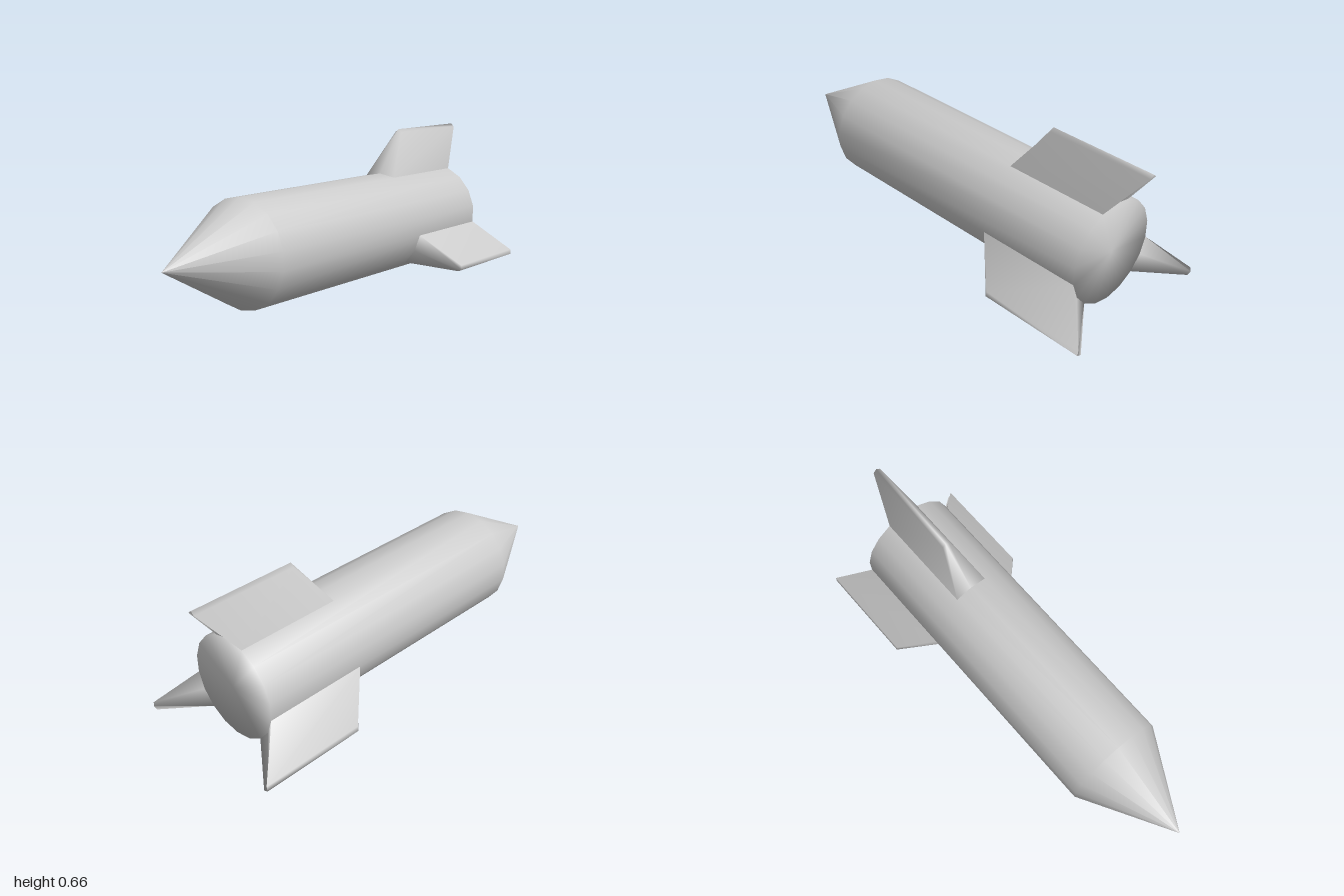
import * as THREE from 'three';

const material = new THREE.MeshStandardMaterial({ color: 0xcccccc, side: THREE.DoubleSide });
const SIDES = 18, RADIUS = 0.23;

// Six points around a fin section: left to right along the front, then back again.
function finSection(halfWidth, sideR, ridgeR, zFront, zBack) {
  return [
    [-halfWidth, sideR, zFront], [0, ridgeR, zFront], [halfWidth, sideR, zFront],
    [halfWidth, sideR, zBack], [0, ridgeR, zBack], [-halfWidth, sideR, zBack],
  ];
}

// Swept-back fin pointing up from the body axis, open where it meets the hull.
function finGeometry(tipR) {
  const step = (2 * Math.PI) / SIDES;
  const root = finSection(RADIUS * Math.sin(step), RADIUS * Math.cos(step), RADIUS, -0.37, -0.85);
  const tip = finSection(0.017, tipR - 0.014, tipR, -0.52, -1);
  const index = [];
  const quad = (a, b, c, d) => index.push(a, b, c, a, c, d);
  for (let i = 0; i < 6; i++) {
    const j = (i + 1) % 6;
    quad(i, j, j + 6, i + 6);
  }
  quad(6, 7, 10, 11);
  quad(7, 8, 9, 10);
  const geometry = new THREE.BufferGeometry();
  geometry.setAttribute('position', new THREE.Float32BufferAttribute([...root, ...tip].flat(), 3));
  geometry.setIndex(index);
  geometry.computeVertexNormals();
  return geometry;
}

export function createModel() {
  const model = new THREE.Group();
  model.name = 'rocket';

  // Flat tail, straight hull and conical nose, turned about the long axis
  const profile = [[0, -0.85], [RADIUS, -0.85], [RADIUS, 0.585], [0, 1]];
  const hull = new THREE.LatheGeometry(profile.map(([r, z]) => new THREE.Vector2(r, z)), SIDES);
  hull.rotateX(Math.PI / 2);
  const body = new THREE.Mesh(hull, material);
  body.name = 'body';
  model.add(body);

  // Three tail fins, one on top and one at each lower side
  const fins = [['topFin', 0, 0.429], ['rightFin', 1, 0.421], ['leftFin', 2, 0.421]];
  for (const [name, turn, tipR] of fins) {
    const fin = new THREE.Mesh(finGeometry(tipR), material);
    fin.name = name;
    fin.rotation.z = (turn * 2 * Math.PI) / 3;
    model.add(fin);
  }

  model.position.set(-0.002, 0.23, 0);
  const group = new THREE.Group();
  group.add(model);
  return group;
}
